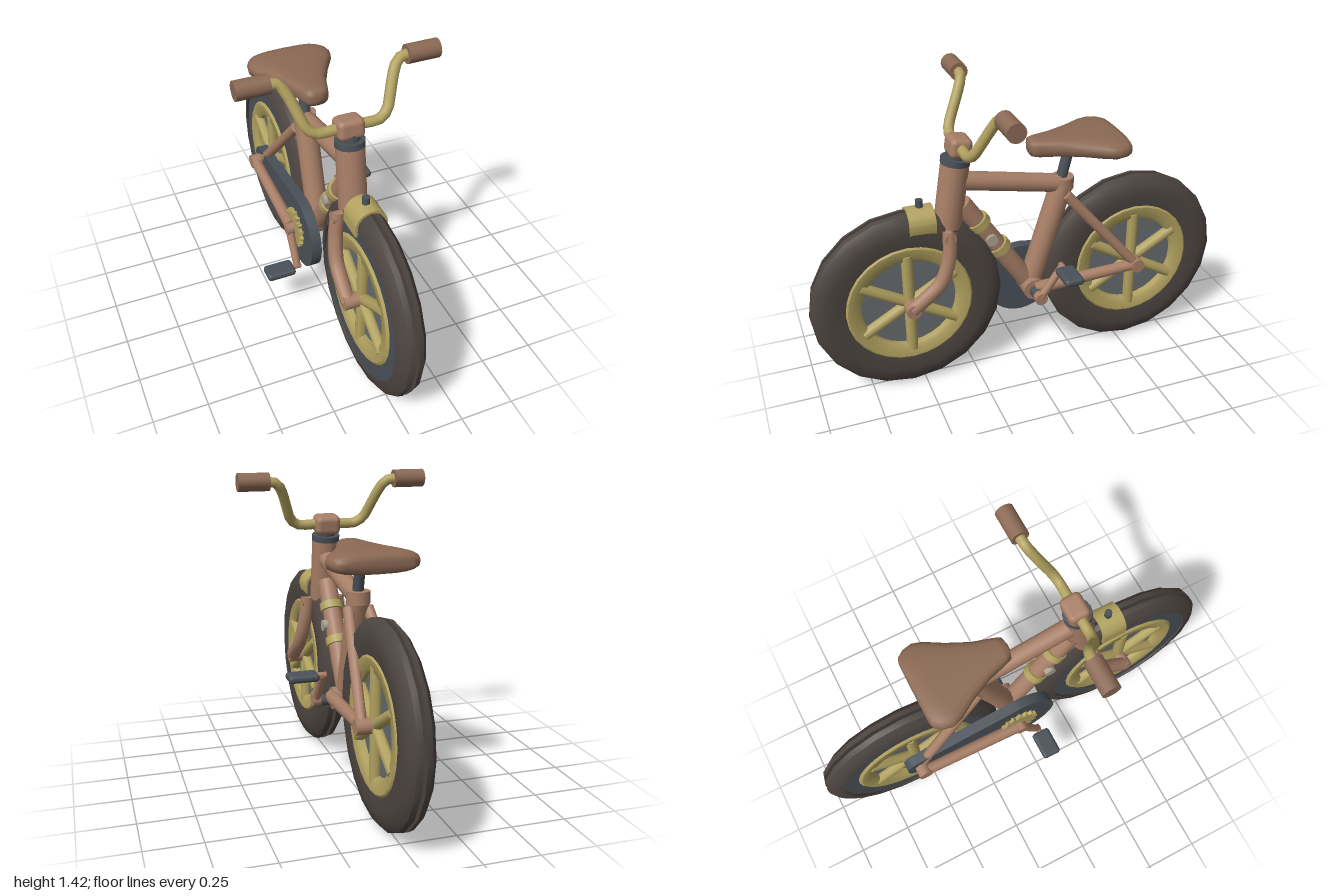
import * as THREE from 'three';
import { toCreasedNormals } from 'three/addons/utils/BufferGeometryUtils.js';
import { RoundedBoxGeometry } from 'three/addons/geometries/RoundedBoxGeometry.js';

const mat = (color) => new THREE.MeshStandardMaterial({ color });
const V = (x, y, z) => new THREE.Vector3(x, y, z);
const UP = V(0, 1, 0);

export function createModel() {
  const bike = new THREE.Group();
  bike.name = 'bicycle';
  const frame = mat(0xa87f67), gold = mat(0xb2a260), leather = mat(0x8c6a55);
  const dark = mat(0x4a5158), tyreMat = mat(0x4d4541), plate = mat(0x666b70);

  const add = (name, geo, material, parent = bike) => {
    const mesh = new THREE.Mesh(geo, material);
    mesh.name = name;
    parent.add(mesh);
    return mesh;
  };
  // straight tube between two points
  const bar = (name, a, b, r, material = frame, rEnd = r, sides = 14, parent = bike) => {
    const dir = b.clone().sub(a);
    const mesh = add(name, new THREE.CylinderGeometry(rEnd, r, dir.length(), sides), material, parent);
    mesh.position.copy(a).add(b).multiplyScalar(0.5);
    mesh.quaternion.setFromUnitVectors(UP, dir.normalize());
    return mesh;
  };
  const box = (name, w, h, d, radius, material, x, y, z) => {
    const mesh = add(name, new RoundedBoxGeometry(w, h, d, 2, radius), material);
    mesh.position.set(x, y, z);
    return mesh;
  };
  const curve = (name, points, r, material) =>
    add(name, new THREE.TubeGeometry(new THREE.CatmullRomCurve3(points), 28, r, 10), material);
  // ring turned about the x axis; section is [radius, x] pairs, counterclockwise
  const ring = (name, section, material, parent, sides = 20) => {
    const pts = [...section, section[0]].map(([r, x]) => new THREE.Vector2(r, x));
    const geo = new THREE.LatheGeometry(pts, sides).rotateZ(-Math.PI / 2);
    return add(name, toCreasedNormals(geo, 0.7), material, parent);
  };

  // Wheels: split tyre over a dark core, gold rim, six spokes on each face
  const wheel = (name, z) => {
    const g = new THREE.Group();
    g.name = name;
    g.position.set(0, 0.447, z);
    bike.add(g);
    ring('tyreLeftHalf', [[0.29, 0.008], [0.445, 0.008], [0.44, 0.032], [0.41, 0.055],
      [0.36, 0.065], [0.29, 0.055]], tyreMat, g);
    ring('tyreRightHalf', [[0.37, -0.063], [0.41, -0.055], [0.44, -0.032], [0.445, -0.008],
      [0.37, -0.008]], tyreMat, g);
    ring('tyreCore', [[0.28, -0.052], [0.375, -0.052], [0.4, -0.02], [0.4, 0.02], [0.28, 0.02]], dark, g);
    ring('rim', [[0.22, -0.045], [0.235, -0.058], [0.285, -0.062], [0.3, -0.05], [0.3, 0.05],
      [0.285, 0.062], [0.235, 0.058], [0.22, 0.045]], gold, g, 28);
    add('wheelDisc', new THREE.CylinderGeometry(0.23, 0.23, 0.05, 28).rotateZ(Math.PI / 2), plate, g);
    for (const side of [-1, 1]) {
      for (let i = 0; i < 3; i++) {
        const spoke = add('spoke', new THREE.CylinderGeometry(0.027, 0.027, 0.5, 8), gold, g);
        spoke.position.x = side * 0.04;
        spoke.rotation.x = (i * Math.PI) / 3;
      }
    }
    bar('axle', V(-0.13, 0, 0), V(0.13, 0, 0), 0.034, frame, 0.034, 14, g);
  };
  wheel('frontWheel', 0.555);
  wheel('rearWheel', -0.555);

  // Main frame tubes
  const crank = V(0, 0.4, -0.04);
  bar('headTube', V(0, 0.79, 0.352), V(0, 1.09, 0.305), 0.064);
  bar('headCollar', V(0, 1.085, 0.306), V(0, 1.112, 0.302), 0.066, dark);
  bar('steererTube', V(0, 1.11, 0.302), V(0, 1.15, 0.295), 0.045, dark);
  bar('topTube', V(0, 1.0, 0.3), V(0, 0.905, -0.18), 0.043);
  bar('seatTube', crank, V(0, 0.9, -0.198), 0.053);
  bar('seatLug', V(0, 0.88, -0.2), V(0, 0.937, -0.2), 0.053);
  bar('downTube', crank, V(0, 0.885, 0.285), 0.045);
  add('bottomBracket', new THREE.CylinderGeometry(0.052, 0.052, 0.15, 16).rotateZ(Math.PI / 2), frame)
    .position.copy(crank);

  // Gold bands and side buttons on the down tube
  const along = V(0, 0.485, 0.325).normalize();
  for (const [y, z] of [[0.775, 0.208], [0.63, 0.112]]) {
    const c = V(0, y, z), half = along.clone().multiplyScalar(0.019);
    bar('tubeBand', c.clone().sub(half), c.clone().add(half), 0.055, gold);
  }
  bar('tubeButtons', V(-0.06, 0.697, 0.16), V(0.06, 0.697, 0.16), 0.027, mat(0xaaa593));

  // Fork legs and rear stays, mirrored
  for (const s of [-1, 1]) {
    curve('forkLeg', [V(s * 0.075, 0.8, 0.362), V(s * 0.09, 0.67, 0.375), V(s * 0.103, 0.56, 0.42),
      V(s * 0.106, 0.49, 0.5), V(s * 0.106, 0.447, 0.558)], 0.033, frame);
    bar('forkCrownKnob', V(s * 0.03, 0.77, 0.366), V(s * 0.106, 0.77, 0.366), 0.027);
    bar('seatStay', V(s * 0.045, 0.86, -0.2), V(s * 0.1, 0.447, -0.555), 0.026, frame, 0.024, 10);
  }
  bar('leftChainStay', V(0.075, 0.408, -0.04), V(0.1, 0.447, -0.555), 0.032, frame, 0.026);
  bar('rightChainStay', V(-0.14, 0.408, -0.05), V(-0.14, 0.447, -0.555), 0.03, frame, 0.026);
  bar('rightDropout', V(-0.08, 0.447, -0.555), V(-0.165, 0.447, -0.555), 0.034);

  // Handlebar: follows a rearward rake as it rises
  const barPoint = (x, y) => V(x, y, 0.288 - (y - 1.165) * 0.48);
  const halfBar = [[0.07, 1.165], [0.14, 1.166], [0.18, 1.195], [0.205, 1.255], [0.235, 1.33],
    [0.262, 1.37], [0.3, 1.38], [0.34, 1.38]];
  curve('handlebar', [...halfBar.map(([x, y]) => barPoint(-x, y)).reverse(), barPoint(0, 1.165),
    ...halfBar.map(([x, y]) => barPoint(x, y))], 0.024, gold);
  for (const s of [-1, 1]) bar('grip', barPoint(s * 0.3, 1.38), barPoint(s * 0.445, 1.38), 0.042, leather);
  box('stemClamp', 0.12, 0.09, 0.1, 0.025, frame, 0, 1.164, 0.288).rotation.x = -0.15;

  // Saddle: rounded sections [z, half width, bottom, top] from nose to tail
  const sections = [[-0.03, 0.02, 1.085, 1.125], [-0.04, 0.05, 1.068, 1.143], [-0.07, 0.062, 1.062, 1.148],
    [-0.16, 0.09, 1.06, 1.148], [-0.26, 0.14, 1.057, 1.147], [-0.34, 0.19, 1.053, 1.147],
    [-0.385, 0.205, 1.05, 1.146], [-0.43, 0.195, 1.05, 1.145], [-0.458, 0.175, 1.056, 1.138],
    [-0.468, 0.15, 1.075, 1.12]];
  const n = 20, pos = [], idx = [];
  const round = (v) => Math.sign(v) * Math.abs(v) ** 0.7;
  for (const [z, w, lo, hi] of sections) {
    for (let i = 0; i < n; i++) {
      const a = (i / n) * Math.PI * 2;
      pos.push(w * round(Math.cos(a)), (lo + hi) / 2 + ((hi - lo) / 2) * round(Math.sin(a)), z);
    }
  }
  for (let k = 0; k < sections.length - 1; k++) {
    for (let i = 0; i < n; i++) {
      const a = k * n + i, b = k * n + ((i + 1) % n);
      idx.push(a, a + n, b, b, a + n, b + n);
    }
  }
  const last = (sections.length - 1) * n;
  for (let i = 1; i < n - 1; i++) idx.push(0, i, i + 1, last, last + i + 1, last + i);
  const seatGeo = new THREE.BufferGeometry();
  seatGeo.setAttribute('position', new THREE.Float32BufferAttribute(pos, 3));
  seatGeo.setIndex(idx);
  seatGeo.computeVertexNormals();
  add('saddle', seatGeo, leather);
  bar('seatPost', V(0, 0.92, -0.192), V(0, 1.08, -0.232), 0.025, dark);

  // Flat parts drawn with shape x = -z and shape y = y, extruded towards +x
  const sidePlate = (name, shape, depth, x, material) => {
    const geo = new THREE.ExtrudeGeometry(shape, { depth, bevelEnabled: false, curveSegments: 24 });
    const mesh = add(name, toCreasedNormals(geo.rotateY(Math.PI / 2), 0.6), material);
    mesh.position.x = x;
    return mesh;
  };

  // Teardrop chain case around the crank and rear hub
  const chainCase = new THREE.Shape();
  chainCase.absarc(0.02, 0.39, 0.177, 1.35, -1.35 + Math.PI * 2, false);
  chainCase.absarc(0.56, 0.447, 0.065, -1.35, 1.35, false);
  chainCase.closePath();
  sidePlate('chainCase', chainCase, 0.05, -0.113, dark);

  // Toothed chainring
  const gear = new THREE.Shape();
  for (let i = 0; i < 64; i++) {
    const a = (i / 64) * Math.PI * 2, r = i % 4 < 2 ? 0.098 : 0.08;
    gear[i ? 'lineTo' : 'moveTo'](0.04 + r * Math.cos(a), 0.4 + r * Math.sin(a));
  }
  gear.closePath();
  sidePlate('chainring', gear, 0.02, -0.131, gold);

  // Crank arms and pedals
  bar('crankAxle', V(-0.16, 0.4, -0.04), V(0.145, 0.395, -0.04), 0.026, dark);
  for (const [s, y, z] of [[1, 0.55, -0.145], [-1, 0.238, 0.055]]) {
    bar('crankArm', V(s * 0.15, 0.4, -0.04), V(s * 0.15, y, z), 0.02, frame, 0.018, 10);
    bar('crankBoss', V(s * 0.132, 0.4, -0.04), V(s * 0.168, 0.4, -0.04), 0.03);
    bar('pedalPin', V(s * 0.132, y, z), V(s * 0.2, y, z), 0.014, frame);
    box('pedal', 0.14, 0.036, 0.092, 0.016, dark, s * 0.24, y, z);
  }

  // Gold saddle-shaped brake cover over the front tyre, with a peg
  const cover = new THREE.Shape();
  cover.moveTo(0.073, 0.79);
  cover.absarc(0, 0.832, 0.073, 0, Math.PI, false);
  cover.lineTo(-0.073, 0.79);
  cover.lineTo(-0.062, 0.79);
  cover.absarc(0, 0.832, 0.062, Math.PI, 0, true);
  cover.lineTo(0.062, 0.79);
  cover.closePath();
  const coverGeo = new THREE.ExtrudeGeometry(cover, { depth: 0.12, bevelEnabled: false, curveSegments: 16 });
  add('brakeCover', toCreasedNormals(coverGeo, 0.6), gold).position.z = 0.418;
  bar('brakePeg', V(0, 0.88, 0.475), V(0, 0.937, 0.475), 0.017, dark);

  return bike;
}
